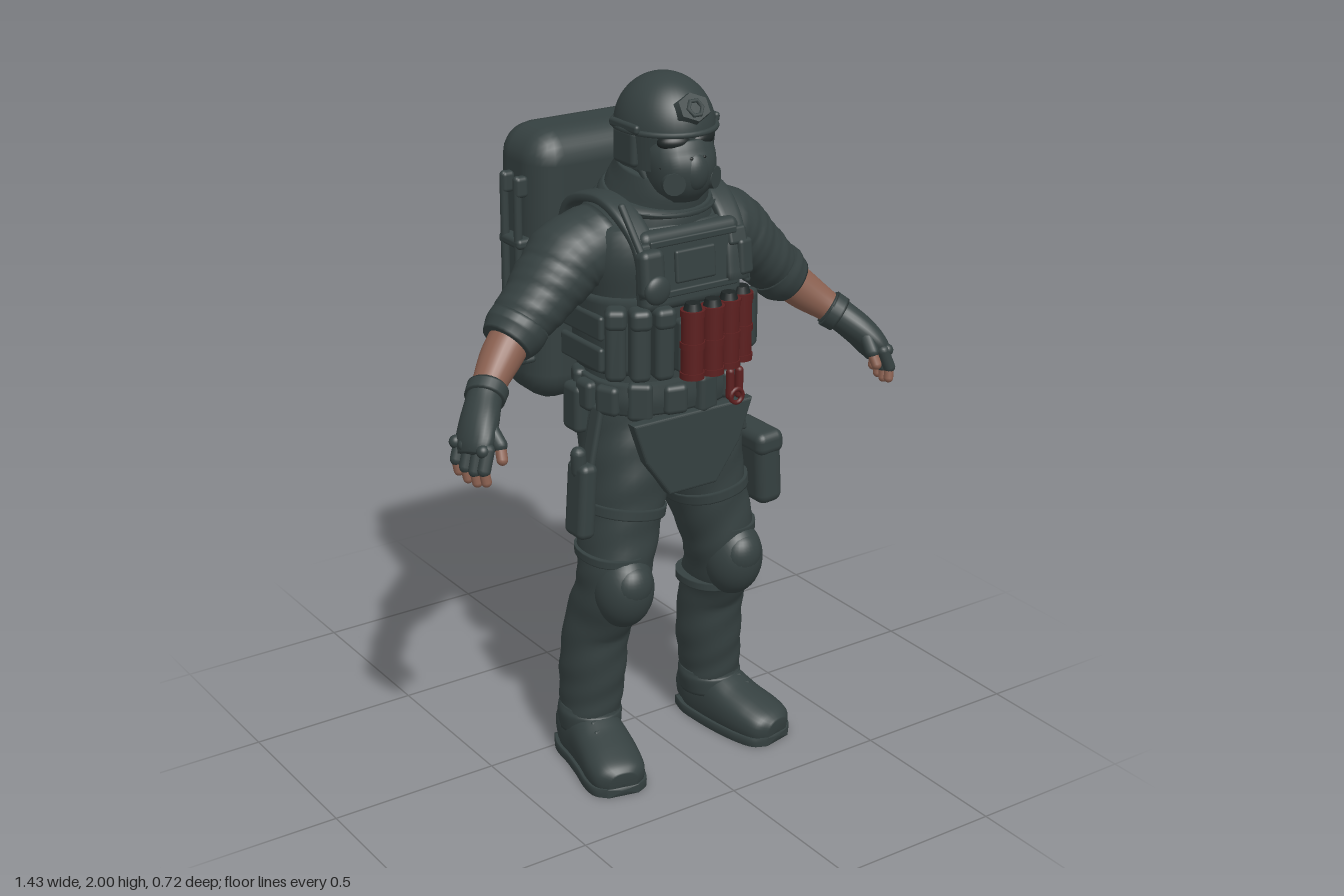
import * as THREE from 'three';
import { RoundedBoxGeometry } from 'three/addons/geometries/RoundedBoxGeometry.js';

const V = (x, y, z) => new THREE.Vector3(x, y, z);
const Z = V(0, 0, 1), Y = V(0, 1, 0), X = V(1, 0, 0);

// Smooth skin over cross-sections [x, y, z, halfWidth, halfDepth] along a path
function loft(rows, { ref = Z, p = 2, wrinkle = 0, lo = -9, hi = 9, n = 24 } = {}) {
  const path = new THREE.CatmullRomCurve3(rows.map(r => V(r[0], r[1], r[2])), false, 'catmullrom');
  const size = new THREE.CatmullRomCurve3(rows.map(r => V(r[3], r[4], 0)), false, 'catmullrom');
  const steps = (rows.length - 1) * 6, pos = [], idx = [];
  const ring = (t, k) => {
    const c = path.getPoint(t), s = size.getPoint(t), tan = path.getTangent(t);
    const side = tan.clone().cross(ref).normalize(), depth = side.clone().cross(tan);
    for (let i = 0; i < n; i++) {
      const a = i / n * Math.PI * 2, co = Math.cos(a), si = Math.sin(a);
      const w = k * (1 + wrinkle * Math.sin(a * 2 + t * 45) * Math.sin(t * 19 + a));
      const q = c.clone()
        .addScaledVector(side, Math.sign(co) * Math.abs(co) ** (2 / p) * s.x * w)
        .addScaledVector(depth, Math.sign(si) * Math.abs(si) ** (2 / p) * s.y * w);
      pos.push(q.x, Math.min(hi, Math.max(lo, q.y)), q.z);
    }
  };
  ring(0, 0);
  for (let j = 0; j <= steps; j++) ring(j / steps, 1);
  ring(1, 0);
  for (let j = 0; j < steps + 2; j++) for (let i = 0; i < n; i++) {
    const a = j * n + i, c = j * n + (i + 1) % n;
    idx.push(a, a + n, c, a + n, c + n, c);
  }
  const g = new THREE.BufferGeometry();
  g.setAttribute('position', new THREE.Float32BufferAttribute(pos, 3));
  g.setIndex(idx);
  g.computeVertexNormals();
  return g;
}

export function createModel() {
  const root = new THREE.Group();
  const mat = (name, color, side = THREE.FrontSide) => {
    const m = new THREE.MeshStandardMaterial({ color, side });
    m.name = name;
    return m;
  };
  const cloth = mat('dark grey green', 0x354040, THREE.DoubleSide);
  const dark = mat('near black', 0x1e2525);
  const skin = mat('skin', 0x8a6050), red = mat('dark red', 0x5c1f1f);

  const add = (name, geo, m = cloth, pos = [0, 0, 0], rot = [0, 0, 0], scale = [1, 1, 1]) => {
    const mesh = new THREE.Mesh(geo, m);
    mesh.name = name;
    mesh.position.set(...pos); mesh.rotation.set(...rot); mesh.scale.set(...scale);
    root.add(mesh);
    return mesh;
  };
  const box = (name, size, pos, m = cloth, rot, r = 0.012) =>
    add(name, new RoundedBoxGeometry(...size, 3, Math.min(r, ...size.map(v => v * 0.49))), m, pos, rot);
  const ball = (name, pos, scale, m = cloth, rot) => add(name, new THREE.SphereGeometry(1, 28, 18), m, pos, rot, scale);
  const rod = (name, a, b, r, m = cloth) => {
    const p = V(...a), q = V(...b), d = q.clone().sub(p);
    const mesh = add(name, new THREE.CapsuleGeometry(r, d.length(), 5, 12), m, p.clone().add(q).multiplyScalar(0.5).toArray());
    mesh.quaternion.setFromUnitVectors(Y, d.normalize());
  };
  const pair = fn => [1, -1].forEach(fn);
  const flip = (s, rows) => rows.map(([x, ...r]) => [x * s, ...r]);

  // Torso, vest, belt and collar
  add('torso', loft([[0, 1.02, .1, .2, .145], [0, 1.12, .1, .21, .15], [0, 1.28, .095, .205, .155], [0, 1.42, .09, .225, .17],
    [0, 1.53, .09, .235, .18], [0, 1.61, .08, .2, .155], [0, 1.67, .09, .13, .12]], { p: 2.5, n: 36 }));
  add('vest', loft([[0, 1.2, .1, .222, .162], [0, 1.3, .095, .23, .17], [0, 1.42, .09, .235, .18]], { p: 2.7, n: 36 }));
  add('belt', loft([[0, 1.09, .105, .22, .165], [0, 1.13, .105, .228, .17], [0, 1.18, .105, .222, .165]], { p: 2.5, n: 36 }));
  add('collar', loft([[0, 1.6, .09, .17, .16], [0, 1.66, .1, .145, .15], [0, 1.71, .115, .13, .142], [0, 1.755, .125, .12, .125]], { n: 32 }));
  add('collarRoll', loft([[0, 1.63, .1, .15, .15], [0, 1.655, .1, .162, .162], [0, 1.68, .105, .145, .15]], { n: 32 }));
  box('chestPlate', [.32, .22, .06], [0, 1.5, .25], cloth, [-.08, 0, 0], .025);
  box('chestPanel', [.13, .09, .015], [0, 1.51, .285], cloth, [-.08, 0, 0]);
  for (const y of [1.44, 1.58]) box('chestStrap', [.28, .02, .01], [0, y, y > 1.5 ? .277 : .287]);
  pair(s => {
    add('shoulderStrap', loft(flip(s, [[.14, 1.44, .285, .014, .035], [.145, 1.57, .255, .014, .035], [.155, 1.65, .17, .015, .038],
      [.16, 1.67, .07, .015, .038], [.165, 1.62, -.05, .015, .038], [.165, 1.45, -.095, .014, .035]]), { ref: X, p: 3.5 }));
    box('strapBuckle', [.06, .05, .02], [.145 * s, 1.56, .272], cloth, [-.3, 0, 0]);
    for (const y of [1.25, 1.34]) box('sidePanel', [.02, .07, .2], [.232 * s, y, .09]);
  });

  // Chest radio and small chest gear
  box('radio', [.075, .13, .05], [-.15, 1.51, .295], cloth, [-.1, 0, 0], .02);
  rod('radioAerial', [-.17, 1.56, .285], [-.19, 1.68, .22], .01);
  ball('radioKnob', [-.145, 1.47, .32], [.04, .04, .018]);
  box('chestPouch', [.05, .1, .03], [.165, 1.5, .28], cloth, [-.1, .2, 0]);
  rod('chestCable', [.19, 1.55, .24], [.2, 1.42, .25], .009);

  // Ammunition pouches and red cartridges
  [[-.215, .225], [-.165, .265], [-.105, .285]].forEach(([x, z], i) => {
    box('magazinePouch', [.056, .2, .06], [x, 1.305, z], cloth, [0, -.6 + i * .22, 0], .018);
    box('pouchFlap', [.06, .06, .068], [x, 1.38, z + .002], cloth, [0, -.6 + i * .22, 0], .018);
  });
  [[-.035, .325], [.03, .325], [.098, .305], [.158, .28]].forEach(([x, z]) => {
    add('redCartridge', new THREE.CylinderGeometry(.031, .031, .19, 18), red, [x, 1.3, z]);
    for (const y of [1.215, 1.3, 1.39]) add('cartridgeBand', new THREE.CylinderGeometry(.034, .034, .018, 18), red, [x, y, z]);
    add('cartridgeCap', new THREE.CylinderGeometry(.02, .026, .02, 16), dark, [x, 1.408, z]);
    box('cartridgeHolder', [.055, .15, .04], [x, 1.29, z - .035]);
  });
  box('sidePouch', [.05, .17, .07], [.215, 1.3, .22], cloth, [0, .7, 0], .018);
  for (const x of [.13, .16]) rod('redTool', [x, 1.1, .275], [x, 1.17, .275], .012, red);
  add('redToolRing', new THREE.TorusGeometry(.02, .007, 8, 18), red, [.145, 1.1, .285]);

  // Pouches around the belt
  for (let i = 0; i < 14; i++) {
    const a = (i + .5) / 14 * Math.PI * 2;
    box('beltPouch', [.07, i % 3 ? .085 : .11, .04], [Math.sin(a) * .23, 1.13, .105 + Math.cos(a) * .168], cloth, [0, a, 0], .016);
  }

  // Pelvis and groin guard
  add('pelvis', loft([[0, 1.1, .105, .21, .15], [0, 1.0, .11, .205, .155], [0, .92, .115, .15, .14], [0, .86, .12, .07, .09]], { p: 2.3, n: 32 }));
  const guard = new THREE.Shape([[-.19, 1.08], [-.15, .97], [-.075, .865], [.075, .865], [.15, .97], [.19, 1.08]].map(p => new THREE.Vector2(...p)));
  add('groinGuard', new THREE.ExtrudeGeometry(guard, { depth: .02, bevelSize: .008, bevelThickness: .008, bevelSegments: 3 }), cloth, [0, 0, .262]);

  pair(s => {
    // Legs with knee pads and boots
    add('leg', loft(flip(s, [[.1, 1.08, .1, .115, .14], [.118, .95, .12, .122, .14], [.14, .8, .138, .112, .128], [.172, .66, .155, .102, .115],
      [.188, .55, .155, .09, .108], [.2, .42, .1, .088, .1], [.205, .28, .087, .09, .1], [.212, .17, .08, .085, .092], [.215, .1, .08, .078, .085]]),
      { p: 2.2, wrinkle: .035, n: 32 }));
    add('kneePad', new THREE.SphereGeometry(1, 28, 18), cloth, [.188 * s, .575, .22], [.12, .1 * s, 0], [.086, .115, .09]);
    ball('kneeCap', [.188 * s, .6, .265], [.06, .065, .048]);
    for (const [y, z, d] of [[.67, .155, .118], [.49, .13, .106]])
      add('kneeStrap', loft([[.18 * s, y - .012, z, .1, d], [.18 * s, y + .012, z, .1, d]], { p: 2.2 }));
    add('thighStrap', loft([[.145 * s, .78, .14, .118, .133], [.14 * s, .81, .138, .12, .135]], { p: 2.2 }));
    const boot = [[.212, .06, -.015, .055, .06], [.218, .07, .04, .075, .09], [.225, .07, .12, .08, .095], [.238, .06, .2, .084, .075],
      [.255, .05, .27, .085, .062], [.266, .042, .32, .074, .05], [.272, .038, .347, .04, .034]];
    add('boot', loft(flip(s, boot), { ref: Y, p: 2.4, lo: .012, n: 28 }));
    add('bootSole', loft(flip(s, boot.map(([x, , z, a]) => [x, .015, z, a + .006, .06])), { ref: Y, p: 4, lo: 0, hi: .026, n: 28 }), cloth);
    add('bootCuff', loft(flip(s, [[.215, .09, .085, .085, .1], [.213, .14, .08, .092, .098], [.212, .165, .08, .084, .092]])));
    for (let i = 0; i < 3; i++) rod('lace', [(.2 + i * .008) * s, .142 - i * .014, .17 + i * .03], [(.26 + i * .008) * s, .142 - i * .014, .17 + i * .03], .007);

    // Sleeves, forearms and hands
    add('sleeve', loft(flip(s, [[.15, 1.56, .07, .095, .11], [.25, 1.52, .065, .108, .118], [.31, 1.47, .068, .1, .112], [.37, 1.415, .075, .088, .1],
      [.425, 1.365, .08, .078, .088], [.46, 1.335, .09, .068, .076]]), { wrinkle: .03, n: 30 }));
    add('sleeveCuff', loft(flip(s, [[.42, 1.37, .08, .082, .09], [.445, 1.345, .085, .084, .088], [.475, 1.322, .093, .07, .075]])));
    box('shoulderPatch', [.1, .02, .11], [.362 * s, 1.522, .068], cloth, [0, 0, -.74 * s]);
    add('forearm', loft(flip(s, [[.44, 1.35, .085, .058, .06], [.5, 1.295, .11, .056, .058], [.56, 1.245, .148, .045, .047], [.6, 1.21, .18, .04, .042]])), skin);
    add('glove', loft(flip(s, [[.565, 1.24, .152, .05, .052], [.595, 1.215, .178, .046, .05], [.632, 1.175, .215, .045, .06],
      [.66, 1.135, .24, .04, .066], [.675, 1.105, .252, .03, .058]])));
    add('gloveCuff', loft(flip(s, [[.568, 1.236, .155, .055, .058], [.592, 1.217, .175, .053, .056]])));
    for (let i = 0; i < 4; i++) {
      const z = .2 + i * .033, x = .69 - i * .008, low = [.0, -.012, -.014, -.004][i];
      rod('gloveFinger', [(x - .01) * s, 1.13, z], [(x + .008) * s, 1.085 + low, z + .008], .018);
      rod('fingertip', [(x + .008) * s, 1.082 + low, z + .008], [(x + .004) * s, 1.053 + low, z + .012], .014, skin);
      ball('knuckle', [(x + .005) * s, 1.13, z], [.018, .018, .017]);
    }
    rod('gloveThumb', [.625 * s, 1.18, .25], [.618 * s, 1.135, .295], .02);
    rod('thumbTip', [.618 * s, 1.13, .297], [.622 * s, 1.1, .312], .015, skin);
  });

  // Head, mask and goggles
  add('head', loft([[0, 1.66, .13, .085, .1], [0, 1.76, .14, .105, .115], [0, 1.86, .14, .115, .13]]));
  add('mask', loft([[0, 1.675, .2, .055, .065], [0, 1.71, .2, .085, .092], [0, 1.76, .2, .098, .105], [0, 1.8, .195, .1, .095], [0, 1.83, .19, .09, .085]], { p: 2.2 }));
  ball('maskNose', [0, 1.76, .275], [.045, .055, .035]);
  pair(s => {
    add('maskFilter', new THREE.CylinderGeometry(.03, .035, .03, 20), cloth, [.06 * s, 1.735, .27], [Math.PI / 2, 0, -.5 * s]);
    rod('maskSeam', [.02 * s, 1.8, .292], [.085 * s, 1.775, .248], .005, dark);
    ball('goggleLens', [.045 * s, 1.838, .246], [.045, .022, .025], dark, [0, .35 * s, 0]);
    box('earGuard', [.03, .1, .1], [.118 * s, 1.815, .135], cloth, [0, 0, 0], .014);
    box('helmetRail', [.018, .025, .13], [.128 * s, 1.872, .14], cloth);
    rod('chinStrap', [.112 * s, 1.79, .17], [.075 * s, 1.69, .2], .011);
  });
  const front = Math.PI * .3;
  add('goggleFrame', new THREE.CylinderGeometry(.114, .108, .06, 28, 1, true, -front, front * 2), cloth, [0, 1.838, .142], [0, 0, 0], [1, 1, 1.08]);
  add('helmet', new THREE.SphereGeometry(1, 40, 20, 0, Math.PI * 2, 0, Math.PI * .5), cloth, [0, 1.855, .138], [0, 0, 0], [.13, .145, .15]);
  add('helmetSkirt', new THREE.CylinderGeometry(1, .93, .095, 36, 1, true, .95, Math.PI * 2 - 1.9), cloth, [0, 1.808, .138], [0, 0, 0], [.13, 1, .15]);
  add('helmetRim', new THREE.TorusGeometry(.132, .008, 8, 40), cloth, [0, 1.862, .138], [Math.PI / 2, 0, 0], [1, 1.13, 1]);
  add('helmetMount', new THREE.CylinderGeometry(.05, .056, .025, 6), cloth, [0, 1.925, .265], [1.0, 0, 0], [1, 1, .8]);
  add('mountRing', new THREE.TorusGeometry(.022, .006, 8, 6), cloth, [0, 1.93, .279], [-.5, 0, 0]);

  // Backpack with its side frames
  box('backpack', [.52, .79, .245], [0, 1.415, -.213], cloth, [.02, 0, 0], .09);
  add('packBackPlate', loft([[0, 1.17, -.325, .1, .018], [0, 1.2, -.33, .1, .025], [0, 1.34, -.33, .095, .028], [0, 1.37, -.325, .09, .012]], { p: 6 }));
  add('packBadge', new THREE.CylinderGeometry(.036, .036, .006, 20), skin, [.04, 1.55, -.336], [Math.PI / 2, 0, 0], [1, 1, .85]);
  pair(s => {
    for (const z of [-.15, -.22]) {
      rod('packSideRod', [.285 * s, 1.32, z], [.285 * s, 1.68, z], .012);
      box('rodClamp', [.04, .06, .03], [.275 * s, 1.66, z]);
    }
    for (const y of [1.32, 1.5]) box('packBracket', [.05, .03, .11], [.272 * s, y, -.185]);
    box('packSidePocket', [.04, .15, .1], [.275 * s, 1.24, -.185], cloth, [0, 0, 0], .018);
    box('packHarness', [.07, .3, .08], [.14 * s, 1.46, -.1]);
  });
  const loop = new THREE.CatmullRomCurve3([V(.25, 1.28, -.1), V(.305, 1.28, -.11), V(.312, 1.28, -.2), V(.305, 1.28, -.285), V(.25, 1.28, -.295)]);
  add('packHandle', new THREE.TubeGeometry(loop, 24, .01, 8));
  rod('pole', [-.295, 1.17, -.13], [-.295, 1.42, -.13], .016);
  rod('poleCrossbar', [-.33, 1.165, -.13], [-.26, 1.165, -.13], .011);
  rod('poleFoot', [-.33, 1.165, -.11], [-.33, 1.165, -.21], .012);

  // Thigh gear
  box('holsterPouch', [.085, .22, .17], [.292, .835, .18], cloth, [0, 0, .06], .03);
  box('holsterFlap', [.092, .07, .18], [.288, .915, .18], cloth, [0, 0, .06], .025);
  box('holsterPocket', [.03, .1, .11], [.33, .8, .18], cloth, [0, 0, .06]);
  box('holsterHanger', [.02, .16, .06], [.235, 1.02, .16], cloth, [0, 0, .2]);
  box('knifeSheath', [.055, .22, .09], [-.28, .845, .15], cloth, [0, 0, -.06], .02);
  rod('knifeHandle', [-.285, .93, .15], [-.288, .98, .15], .022);
  box('sheathHanger', [.02, .18, .05], [-.24, 1.02, .15], cloth, [0, 0, -.2]);
  pair(s => box('hipPouch', [.05, .14, .08], [.235 * s, 1.08, .06], cloth, [0, 0, 0], .018));
  return root;
}
